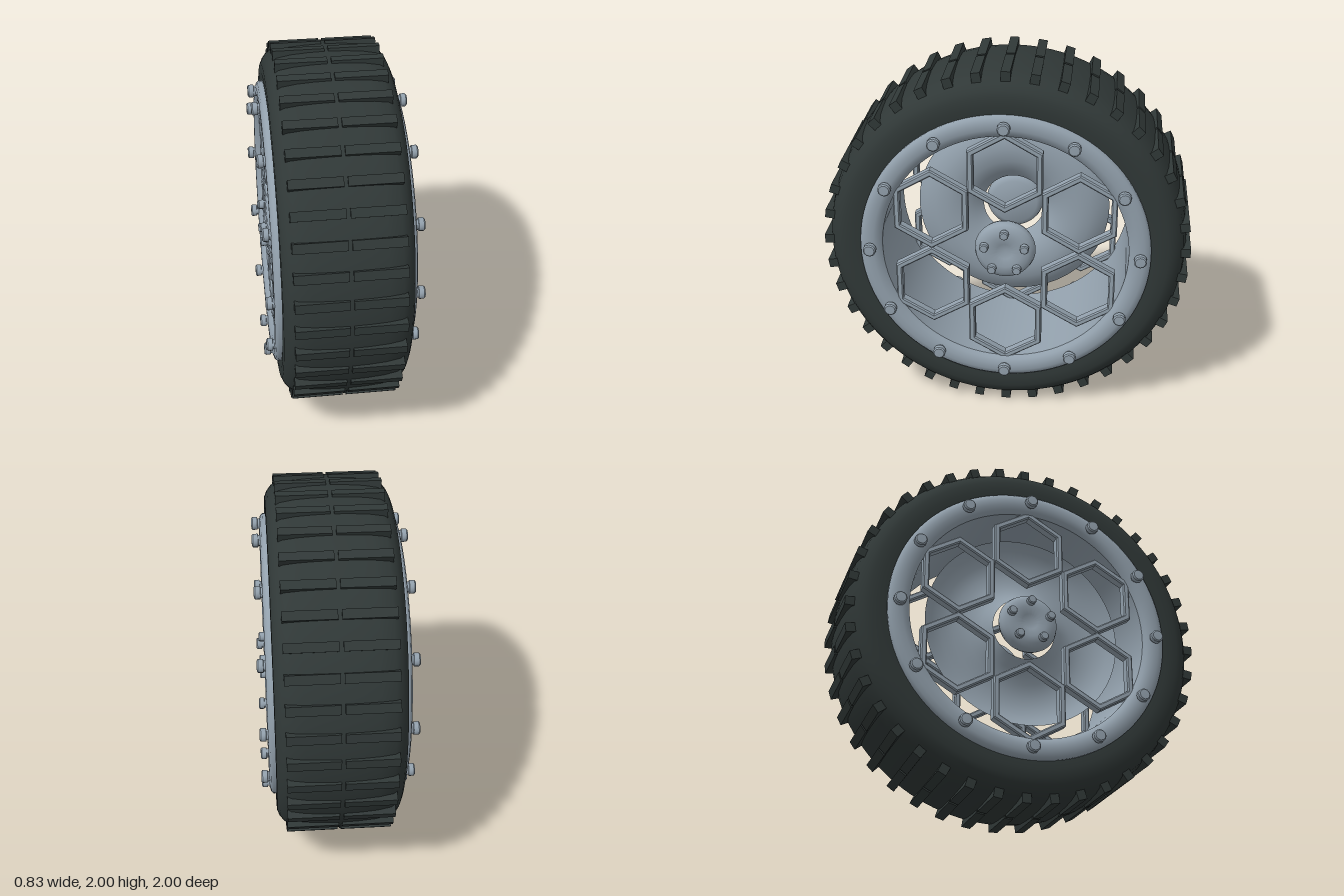
import * as THREE from 'three';
import { toCreasedNormals } from 'three/addons/utils/BufferGeometryUtils.js';

const makeMaterial = (name, color, side = THREE.FrontSide) => {
  const m = new THREE.MeshStandardMaterial({ color, side });
  m.name = name;
  return m;
};

// Revolves [radius, axial] points about the x axis
function revolve(points, segments = 96, crease = 0.7) {
  const g = new THREE.LatheGeometry(points.map(([r, a]) => new THREE.Vector2(r, a)), segments);
  g.rotateZ(-Math.PI / 2);
  return toCreasedNormals(g, crease);
}

// Mirrors a half profile (running outward in +x) so it spans both sides
const bothSides = (half) => [...half.map(([r, a]) => [r, -a]).reverse(), ...half];

function hexagon(Type, radius) {
  const s = new Type();
  for (let i = 0; i <= 6; i++) {
    const a = Math.PI / 6 + (i % 6) * Math.PI / 3;
    const x = radius * Math.cos(a), y = radius * Math.sin(a);
    if (i) s.lineTo(x, y); else s.moveTo(x, y);
  }
  return s;
}

export function createModel() {
  const rubber = makeMaterial('dark rubber', 0x303837);
  const metal = makeMaterial('grey metal', 0x93a1ad, THREE.DoubleSide);

  const model = new THREE.Group();
  const wheel = new THREE.Group();
  wheel.name = 'wheel';
  wheel.position.y = 1;
  model.add(wheel);

  const add = (parent, name, geometry, material) => {
    const mesh = new THREE.Mesh(geometry, material);
    mesh.name = name;
    parent.add(mesh);
    return mesh;
  };

  // Tyre with a slightly crowned tread face and rounded shoulders
  add(wheel, 'tyre', revolve(bothSides([
    [0.986, 0], [0.983, 0.1], [0.976, 0.19], [0.962, 0.265], [0.938, 0.3],
    [0.91, 0.322], [0.88, 0.335], [0.83, 0.337], [0.775, 0.333], [0.72, 0.32],
  ]), 120, 1.0), rubber);

  // Two tread blocks on each of 40 rows
  const treads = new THREE.Group();
  treads.name = 'treads';
  wheel.add(treads);
  const treadGeometry = new THREE.BoxGeometry(0.275, 0.06, 0.05);
  for (let i = 0; i < 40; i++) {
    const a = i * Math.PI / 20;
    for (const side of [-1, 1]) {
      const block = add(treads, 'treadBlock', treadGeometry, rubber);
      block.position.set(side * 0.1475, 0.97 * Math.cos(a), 0.97 * Math.sin(a));
      block.rotation.x = a;
    }
  }

  // Open barrel through the middle
  add(wheel, 'barrel', revolve([[0.668, -0.34], [0.668, 0.34]]), metal);

  // Dished disc with a centre hole, set towards the -x side
  add(wheel, 'disc', revolve([
    [0.555, -0.23], [0.51, -0.195], [0.45, -0.17], [0.38, -0.16],
    [0.3, -0.17], [0.23, -0.2], [0.178, -0.25],
  ], 96, 1.2), metal);

  const ringGeometry = revolve([
    [0.668, 0.3], [0.785, 0.3], [0.787, 0.35], [0.775, 0.363], [0.75, 0.371],
    [0.715, 0.371], [0.685, 0.36], [0.668, 0.34],
  ], 96, 0.8);

  const hubGeometry = revolve([
    [0, 0.27], [0.13, 0.27], [0.157, 0.285], [0.166, 0.312], [0.157, 0.34],
    [0.13, 0.357], [0.09, 0.361], [0.045, 0.352], [0, 0.335],
  ], 48, 1.0);

  const hexShape = hexagon(THREE.Shape, 0.224);
  hexShape.holes.push(hexagon(THREE.Path, 0.201));
  const hexGeometry = new THREE.ExtrudeGeometry(hexShape, {
    depth: 0.045, bevelEnabled: true, bevelSize: 0.007, bevelThickness: 0.007, bevelSegments: 1,
  });
  hexGeometry.rotateY(Math.PI / 2);

  // Bolt with a narrow neck and a domed head
  const boltGeometry = (r, base, top) => revolve([
    [r * 0.8, base], [r * 0.8, top - 0.036], [r, top - 0.034],
    [r, top - 0.008], [r * 0.8, top - 0.001], [0, top],
  ], 12, 0.6);
  const rimBolt = boltGeometry(0.035, 0.35, 0.415);
  const hubBolt = boltGeometry(0.025, 0.33, 0.4);

  // Places copies evenly round the axle, starting at the top
  const around = (parent, name, geometry, count, radius) => {
    for (let i = 0; i < count; i++) {
      const a = i * 2 * Math.PI / count;
      add(parent, name, geometry, metal)
        .position.set(0, radius * Math.cos(a), radius * Math.sin(a));
    }
  };

  // Matching face on each side of the wheel
  for (const [name, turn] of [['leftFace', 0], ['rightFace', Math.PI]]) {
    const face = new THREE.Group();
    face.name = name;
    face.rotation.y = turn;
    wheel.add(face);
    add(face, 'rimRing', ringGeometry, metal);
    add(face, 'hubCap', hubGeometry, metal);
    around(face, 'rimBolt', rimBolt, 12, 0.73);
    around(face, 'hubBolt', hubBolt, 5, 0.115);

    const frames = new THREE.Group();
    frames.name = 'hexFrames';
    frames.position.x = 0.293;
    face.add(frames);
    around(frames, 'hexFrame', hexGeometry, 6, 0.46);
  }

  return model;
}
